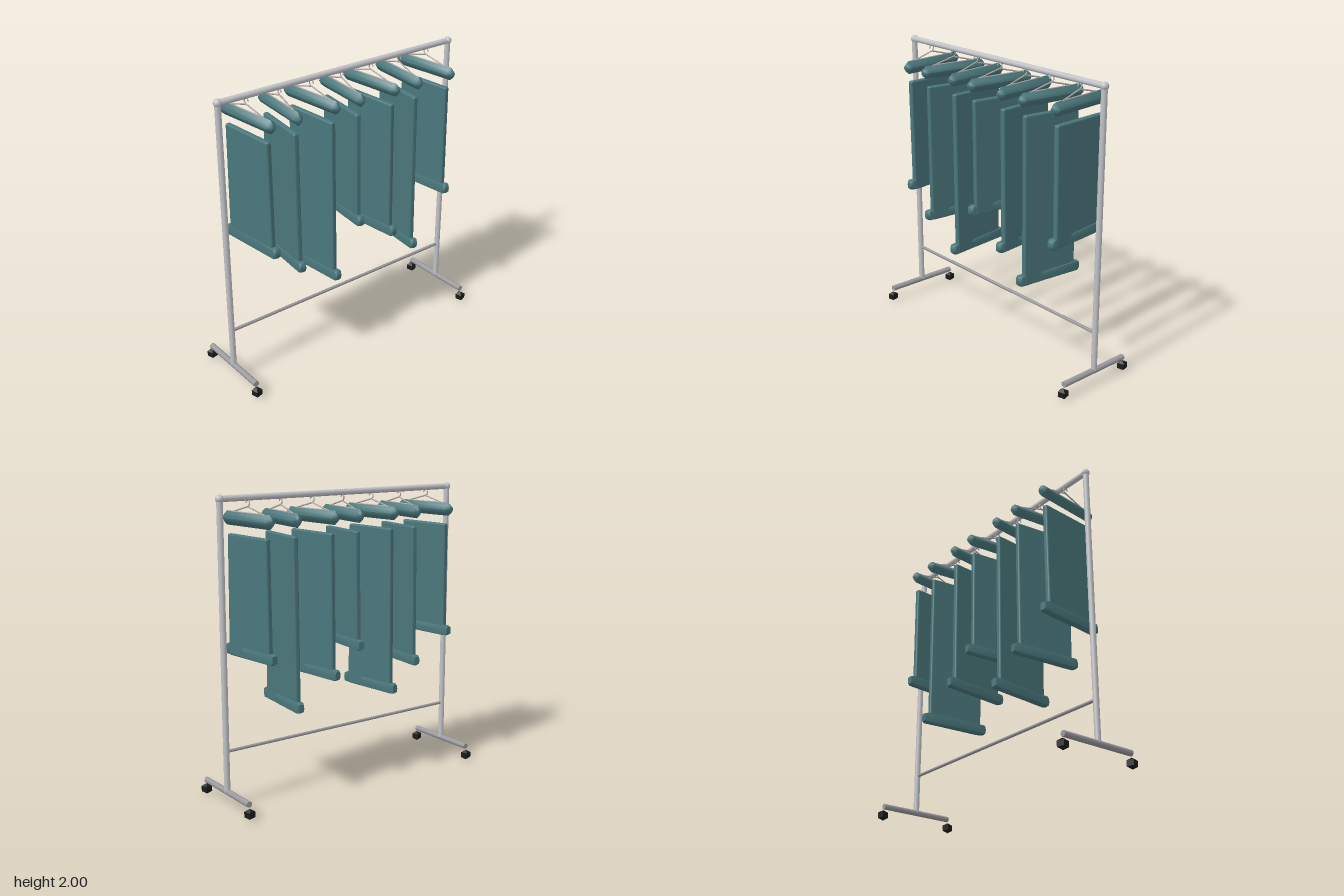
import * as THREE from 'three';
import { toCreasedNormals } from 'three/addons/utils/BufferGeometryUtils.js';
import { RoundedBoxGeometry } from 'three/addons/geometries/RoundedBoxGeometry.js';

const material = (name, color) => {
  const m = new THREE.MeshStandardMaterial({ color });
  m.name = name;
  return m;
};

// Closed loft along z. Each station: [z, scale, reach of the +x side]
function loft(stations, halfX, halfY, diagonal) {
  const d = diagonal;
  const ring = [[1, 0], [d, d], [0, 1], [-d, d], [-1, 0], [-d, -d], [0, -1], [d, -d]];
  const n = ring.length, pos = [], idx = [];
  for (const [z, s, reach = 1] of stations) {
    for (const [x, y] of ring) pos.push(x * halfX * s * (x > 0 ? reach : 1), y * halfY * s, z);
  }
  const last = (stations.length - 1) * n;
  for (let i = 0; i < last; i += n) {
    for (let j = 0; j < n; j++) {
      const k = (j + 1) % n;
      idx.push(i + j, i + k, i + n + k, i + j, i + n + k, i + n + j);
    }
  }
  for (let j = 1; j < n - 1; j++) idx.push(0, j + 1, j, last, last + j, last + j + 1);
  const g = new THREE.BufferGeometry();
  g.setAttribute('position', new THREE.Float32BufferAttribute(pos, 3));
  g.setIndex(idx);
  return toCreasedNormals(g, 1.1);
}

export function createModel() {
  const metal = material('steel', 0xc2c3c8);
  const darkMetal = material('dark steel', 0x9a9a9f);
  const wireMetal = material('hanger wire', 0xb4acac);
  const fabric = material('teal fabric', 0x4a777c);
  const rubber = material('black rubber', 0x1a1a1a);

  const model = new THREE.Group();
  model.name = 'garmentRack';

  const add = (parent, name, geometry, mat, x = 0, y = 0, z = 0) => {
    const mesh = new THREE.Mesh(geometry, mat);
    mesh.name = name;
    mesh.position.set(x, y, z);
    parent.add(mesh);
    return mesh;
  };
  // Straight round bar between two points
  const bar = (parent, name, a, b, r, mat, sides = 12) => {
    const p = new THREE.Vector3(...a), q = new THREE.Vector3(...b);
    const dir = q.clone().sub(p);
    const mesh = add(parent, name, new THREE.CylinderGeometry(r, r, dir.length(), sides), mat);
    mesh.position.copy(p).add(q).multiplyScalar(0.5);
    mesh.quaternion.setFromUnitVectors(new THREE.Vector3(0, 1, 0), dir.normalize());
    return mesh;
  };

  // Faceted caster wheel
  const wheel = new THREE.SphereGeometry(0.037, 4, 3).toNonIndexed();
  wheel.rotateY(Math.PI / 4 + 0.25);
  wheel.scale(1.08, 1, 1.08);
  wheel.computeVertexNormals();

  // Frame
  bar(model, 'topRail', [-0.925, 1.973, 0], [0.925, 1.973, 0], 0.02, metal);
  bar(model, 'lowerBar', [-0.92, 0.372, 0], [0.92, 0.372, 0], 0.011, darkMetal, 8);
  for (const side of [-1, 1]) {
    const x = side * 0.924;
    bar(model, 'upright', [x, 0.1, 0], [x, 1.973, 0], 0.02, metal);
    add(model, 'cornerJoint', new THREE.SphereGeometry(0.027, 10, 8), metal, x, 1.973, 0);
    bar(model, 'foot', [x, 0.1, -0.27], [x, 0.1, 0.27], 0.02, darkMetal);
    for (const end of [-1, 1]) add(model, 'caster', wheel, rubber, x, 0.037, end * 0.273);
  }

  // Shared garment shapes
  const shoulder = loft([[-0.245, 0.5], [-0.218, 1], [0.218, 1], [0.245, 0.5]], 0.036, 0.045, 0.58);
  const hem = loft([[-0.245, 0.75], [-0.225, 1], [0.02, 1], [0.11, 1, 0.6],
    [0.2, 1, 0.6], [0.208, 1], [0.23, 1], [0.245, 0.75]], 0.029, 0.037, 0.85);
  const hook = new THREE.TorusGeometry(0.018, 0.004, 6, 14, Math.PI * 1.5);
  hook.rotateZ(-Math.PI / 2);
  hook.rotateY(Math.PI / 2);

  const top = 1.735;
  const bottoms = [0.945, 0.77, 0.6];

  // Garments on hangers, turned alternately
  for (let i = 0; i < 7; i++) {
    const garment = new THREE.Group();
    garment.name = 'hangingGarment';
    garment.position.x = (i - 3) * 0.242;
    garment.rotation.y = i % 2 ? -0.1 : 0.1;
    model.add(garment);

    add(garment, 'hangerHook', hook, wireMetal, 0, 1.938, 0);
    for (const s of [-1, 1]) {
      bar(garment, 'hangerArm', [0, 1.917, 0], [0, 1.872, s * 0.17], 0.005, wireMetal, 6);
    }
    bar(garment, 'hangerBar', [0, 1.876, -0.17], [0, 1.876, 0.17], 0.005, wireMetal, 6);
    add(garment, 'shoulder', shoulder, fabric, 0, 1.834, 0);

    // Cloth panel, twisted slightly from hem to top
    const bottom = bottoms[i % 3], height = top - bottom;
    const cloth = new RoundedBoxGeometry(0.038, height, 0.412, 2, 0.012);
    const p = cloth.attributes.position;
    for (let v = 0; v < p.count; v++) {
      const twist = 0.015 - 0.045 * (p.getY(v) / height + 0.5);
      p.setX(v, p.getX(v) + p.getZ(v) * twist);
    }
    add(garment, 'clothPanel', cloth, fabric, 0, bottom + height / 2, 0);
    add(garment, 'hem', hem, fabric, 0, bottom + 0.039, 0);
  }
  return model;
}
